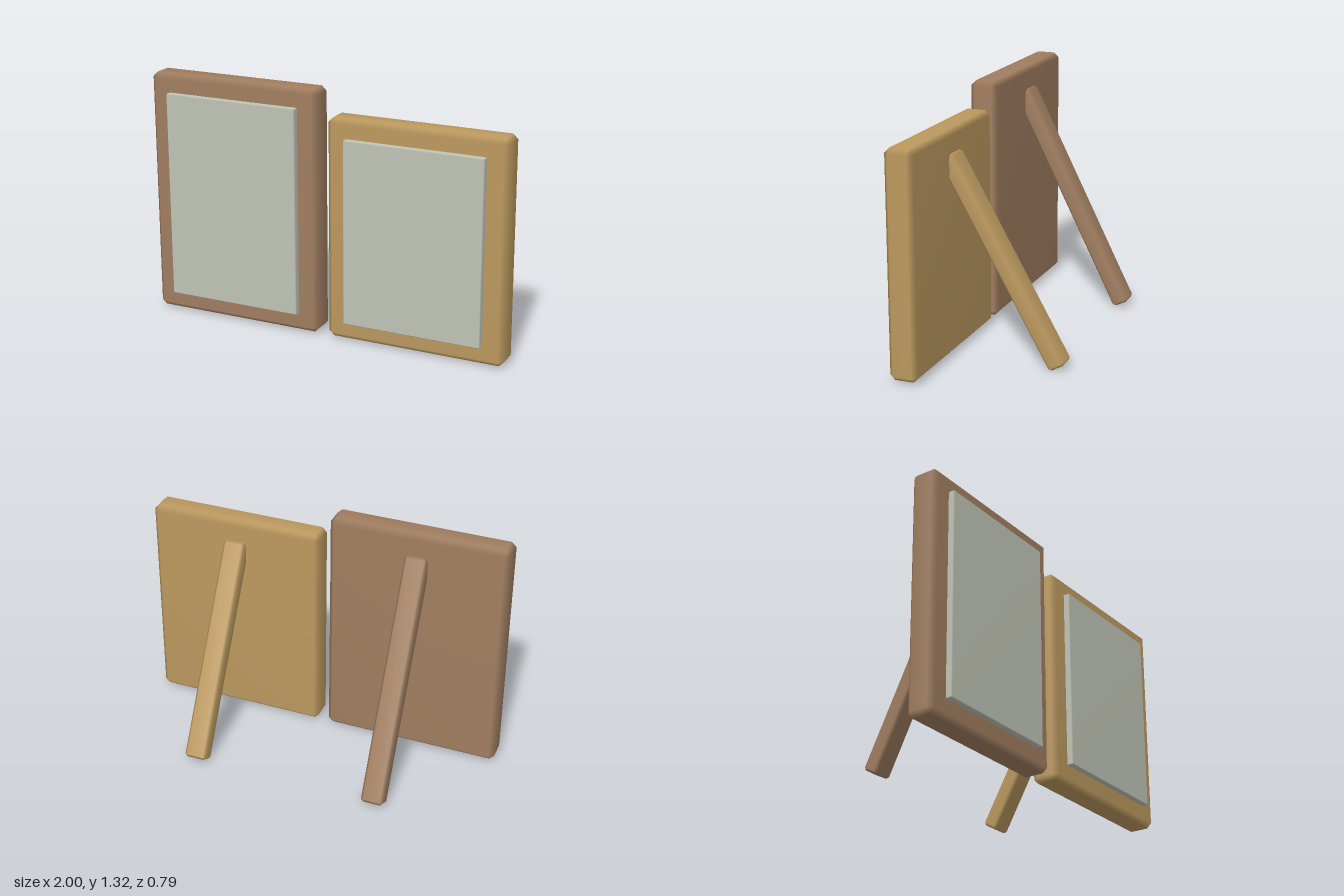
import * as THREE from 'three';
import { ConvexGeometry } from 'three/addons/geometries/ConvexGeometry.js';
import { mergeVertices } from 'three/addons/utils/BufferGeometryUtils.js';

// Box with every edge chamfered by c and softly shaded
function chamferBox(w, h, d, c) {
  const half = [w / 2, h / 2, d / 2];
  const points = [];
  for (const sx of [-1, 1]) for (const sy of [-1, 1]) for (const sz of [-1, 1]) {
    for (let axis = 0; axis < 3; axis++) {
      const p = [sx, sy, sz].map((s, i) => s * (half[i] - (i === axis ? 0 : c)));
      points.push(new THREE.Vector3(...p));
    }
  }
  let geometry = new ConvexGeometry(points);
  geometry.deleteAttribute('normal');
  geometry = mergeVertices(geometry, 1e-4);
  geometry.computeVertexNormals();
  return geometry;
}

function part(name, geometry, material, x, y, z) {
  const mesh = new THREE.Mesh(geometry, material);
  mesh.name = name;
  mesh.position.set(x, y, z);
  return mesh;
}

// One standing picture frame centred on x, reaching up to y = top
function pictureFrame(name, x, top, wood, picture) {
  const group = new THREE.Group();
  group.name = name;

  // Thick backing slab
  const bottom = 0.02;
  group.add(part('frame', chamferBox(0.97, top - bottom, 0.152, 0.026), wood,
    x, (top + bottom) / 2, 0.29));

  // Picture panel raised from the front
  const low = 0.12, high = top - 0.098;
  group.add(part('picture', chamferBox(0.755, high - low, 0.08, 0.005), picture,
    x - Math.sign(x) * 0.002, (low + high) / 2, 0.36));

  // Slanted support leg behind
  const foot = new THREE.Vector2(-0.358, 0.026);
  const head = new THREE.Vector2(0.235, top - 0.13);
  const slope = head.clone().sub(foot);
  const leg = part('supportLeg', chamferBox(0.121, slope.length(), 0.092, 0.014), wood,
    x + (x < 0 ? 0 : -0.005), (foot.y + head.y) / 2, (foot.x + head.x) / 2);
  leg.rotation.x = Math.atan2(slope.x, slope.y);
  group.add(leg);
  return group;
}

export function createModel() {
  const brown = new THREE.MeshStandardMaterial({ color: 0xa07e60 });
  brown.name = 'brownWood';
  const tan = new THREE.MeshStandardMaterial({ color: 0xbc995f });
  tan.name = 'tanWood';
  const pale = new THREE.MeshStandardMaterial({ color: 0xc0c4b6 });
  pale.name = 'paleGreyGreen';

  const model = new THREE.Group();
  model.name = 'pictureFrames';
  model.add(pictureFrame('tallFrame', -0.515, 1.333, brown, pale));
  model.add(pictureFrame('shortFrame', 0.515, 1.203, tan, pale));
  return model;
}
